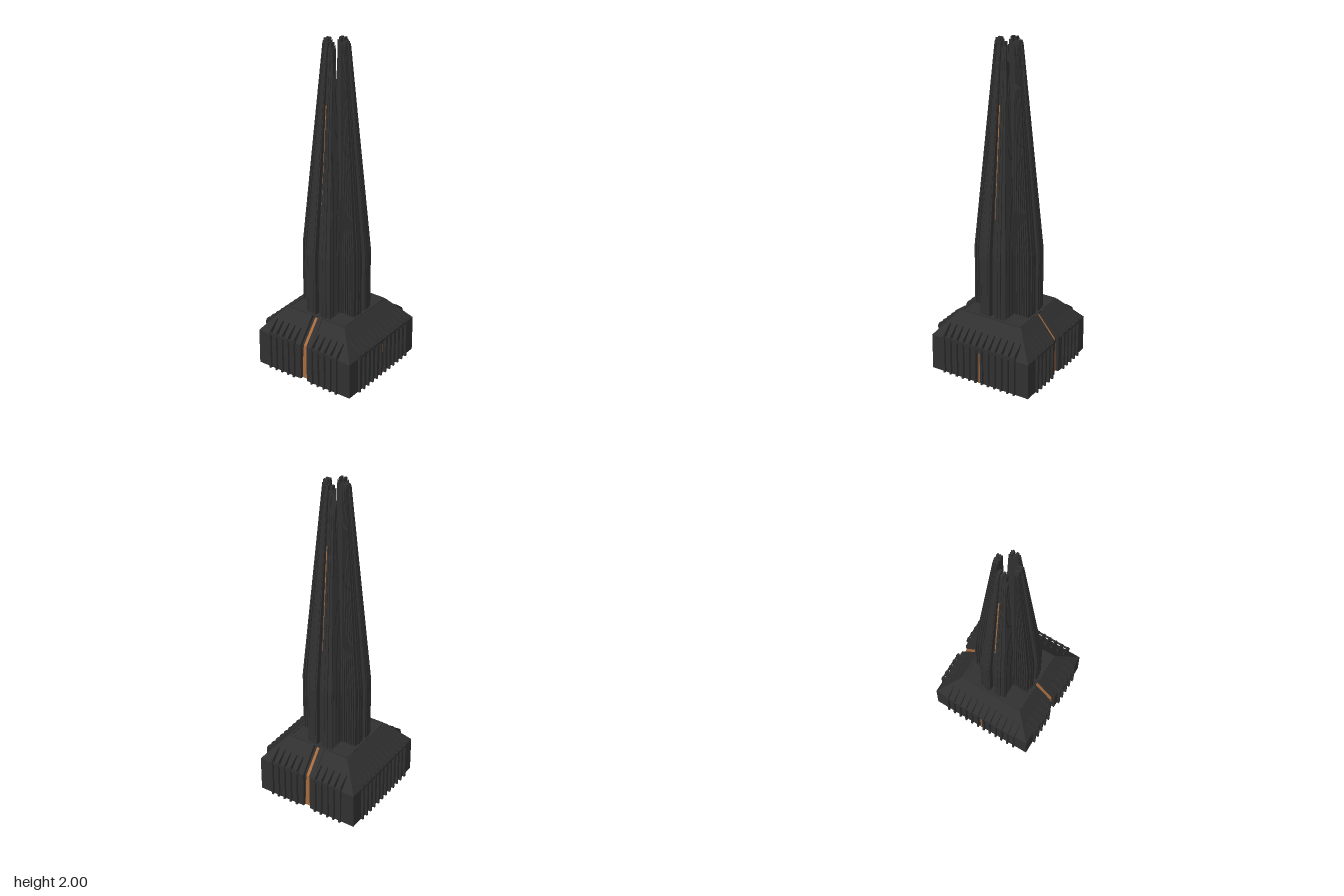
import * as THREE from 'three';

const stone = new THREE.MeshStandardMaterial({ color: 0x303030 });
stone.name = 'charcoal stone';
const copper = new THREE.MeshStandardMaterial({ color: 0xa66a3c });
copper.name = 'glowing copper';

// Solid through stacked rings; each level is [y, [[x, z], ...]]
function loft(levels) {
  const flip = THREE.ShapeUtils.area(levels[0][1].map(([x, z]) => new THREE.Vector2(x, z))) < 0;
  const rings = levels.map(([y, r]) => [y, flip ? [...r].reverse() : r]);
  const pos = [];
  const put = (level, i) => pos.push(level[1][i][0], level[0], level[1][i][1]);
  for (let l = 0; l < rings.length - 1; l++) {
    const lo = rings[l], hi = rings[l + 1], n = lo[1].length;
    for (let i = 0; i < n; i++) {
      const j = (i + 1) % n;
      put(lo, i); put(hi, i); put(lo, j);
      put(lo, j); put(hi, i); put(hi, j);
    }
  }
  const cap = (level, top) => {
    const pts = level[1].map(([x, z]) => new THREE.Vector2(x, z));
    for (const [a, b, c] of THREE.ShapeUtils.triangulateShape(pts, [])) {
      put(level, a); put(level, top ? c : b); put(level, top ? b : c);
    }
  };
  cap(rings[0], false);
  cap(rings[rings.length - 1], true);
  const g = new THREE.BufferGeometry();
  g.setAttribute('position', new THREE.Float32BufferAttribute(pos, 3));
  g.computeVertexNormals();
  return g;
}

function add(parent, name, geometry, material = stone) {
  const m = new THREE.Mesh(geometry, material);
  m.name = name;
  parent.add(m);
  return m;
}

const rect = (x0, x1, z0, z1) => [[x0, z0], [x1, z0], [x1, z1], [x0, z1]];

// Spire dimensions at a given height
function at(y) {
  const k = Math.max(0, (y - 0.75) / 1.25);
  const mix = (a, b) => a + (b - a) * k;
  return { hw: mix(0.085, 0.027), out: mix(0.19, 0.075), inn: mix(0.08, 0.047), slot: mix(0.015, 0.006) };
}

function makeSpire() {
  const g = new THREE.Group();
  // A bar following the taper: f maps the spire size to [x0, x1, z0, z1]
  const bar = (name, ys, f, mat) =>
    add(g, name, loft(ys.map((y) => [y, rect(...f(at(y)))])), mat);
  const full = [0.36, 0.75, 2];

  // Slot floor with its copper seam
  const floor = (s) => s.out - 0.3 * (s.out - s.inn);
  bar('slotFloor', [0.36, 0.75, 1.97], (s) => [-s.slot, s.slot, s.inn, floor(s)]);
  bar('spireSeam', [0.98, 1.65], (s) => [-0.005, 0.005, floor(s) - 0.004, floor(s) + 0.003], copper);

  for (const side of [-1, 1]) {
    bar('cheek', full, (s) => [side * s.slot, side * s.hw * 0.68, s.inn, s.out]);
    bar('flank', [0.36, 0.75, 1.98], (s) =>
      [side * s.hw * 0.66, side * s.hw * 0.88, s.inn, s.out - 0.07 * (s.out - s.inn)]);
    // Long ribs on the flank
    for (let i = 0; i < 7; i++) {
      const a = i / 7, b = a + 0.085;
      bar('flankRib', [0.36, 0.75, 1.985 - 0.012 * (i % 3)], (s) => {
        const d = s.out - s.inn;
        return [side * s.hw * 0.86, side * s.hw, s.inn + a * d, s.inn + b * d];
      });
    }
    // Raised edge line on the outer face
    bar('faceRidge', [0.37, 0.75, 1.95], (s) =>
      [side * s.hw * 0.3, side * s.hw * 0.45, s.out - 0.004, s.out + 0.003]);
  }
  return g;
}

// Half of the base, with half of the side clefts
function makeBaseHalf() {
  const ring = (h) => {
    const n = h - 0.02;
    return [[h, h], [-h, h], [-h, 0.042], [-n, 0.02], [-n, 0], [n, 0], [n, 0.02], [h, 0.042]];
  };
  return loft([[0, ring(0.33)], [0.225, ring(0.33)], [0.37, ring(0.21)]]);
}

// Buttress that runs up the wall and folds over the slope
function makeButtress() {
  const pts = [[0.322, 0], [0.345, 0], [0.345, 0.245], [0.338, 0.262], [0.272, 0.312], [0.265, 0.295], [0.322, 0.228]];
  const shape = new THREE.Shape(pts.map(([d, y]) => new THREE.Vector2(d, y)));
  const geo = new THREE.ExtrudeGeometry(shape, { depth: 0.011, bevelEnabled: false });
  geo.translate(0, 0, -0.0055);
  return geo.rotateY(-Math.PI / 2); // wall faces +z
}

export function createModel() {
  const model = new THREE.Group();
  model.name = 'tower';

  // Base
  const base = new THREE.Group();
  base.name = 'base';
  model.add(base);
  const half = makeBaseHalf();
  add(base, 'frontBase', half);
  add(base, 'backBase', half).rotation.y = Math.PI;

  // Low rim around the terrace
  for (let i = 0; i < 4; i++) {
    const rim = new THREE.BoxGeometry(0.4, 0.008, 0.012);
    add(base, 'terraceRim', rim.rotateY(0).translate(0, 0.371, 0.2)).rotation.y = i * Math.PI / 2;
  }

  // Buttresses and their rails on all four walls
  const buttress = makeButtress();
  for (let w = 0; w < 4; w++) {
    const wall = new THREE.Group();
    wall.name = 'wall';
    wall.rotation.y = w * Math.PI / 2;
    base.add(wall);
    const cleft = w % 2 === 1;
    for (let i = 0; i < 12; i++) {
      const x = (i - 5.5) * 0.0437;
      if (cleft && Math.abs(x) < 0.04) continue;
      add(wall, 'buttress', buttress).position.x = x;
    }
    for (const s of [-1, 1]) {
      const len = cleft ? 0.2 : 0.25;
      add(wall, 'rail', new THREE.BoxGeometry(len, 0.018, 0.008))
        .position.set(s * (0.25 - len / 2), 0.236, 0.338);
    }
    if (cleft) {
      // Copper vein in the cleft, wide at the foot and narrow on the slope
      const vein = (ys) => loft(ys.map(([y, d, h]) => [y, rect(-h, h, d - 0.006, d + 0.003)]));
      add(wall, 'cleftVein', vein([[0.002, 0.31, 0.019], [0.14, 0.31, 0.015], [0.225, 0.31, 0.009], [0.36, 0.198, 0.008]]), copper);
      // Lips beside the cleft
      for (const s of [-1, 1]) {
        const lip = (d) => rect(s * 0.022, s * 0.05, d - 0.03, d + 0.004);
        add(wall, 'cleftLip', loft([[0, lip(0.325)], [0.23, lip(0.325)], [0.375, lip(0.208)]]));
      }
    } else {
      add(wall, 'wallSeam', new THREE.BoxGeometry(0.007, 0.2, 0.006).translate(0, 0.1, 0.33), copper);
    }
  }

  // Four spires around a hollow centre
  for (let i = 0; i < 4; i++) {
    const spire = makeSpire();
    spire.name = ['frontSpire', 'leftSpire', 'backSpire', 'rightSpire'][i];
    spire.rotation.y = i * Math.PI / 2;
    model.add(spire);
  }

  // Core with broken blocks on top
  add(model, 'core', loft([[0.36, rect(-0.085, 0.085, -0.085, 0.085)], [0.72, rect(-0.08, 0.08, -0.08, 0.08)]]));
  let seed = 7;
  const rnd = () => (seed = (seed * 16807) % 2147483647) / 2147483647;
  for (let i = 0; i < 16; i++) {
    const b = add(model, 'rubble', new THREE.BoxGeometry(0.035, 0.03 + rnd() * 0.04, 0.03));
    b.position.set((rnd() - 0.5) * 0.1, 0.725, (rnd() - 0.5) * 0.1);
    b.rotation.set(rnd() * 0.6, rnd() * 3, rnd() * 0.6);
  }
  return model;
}
